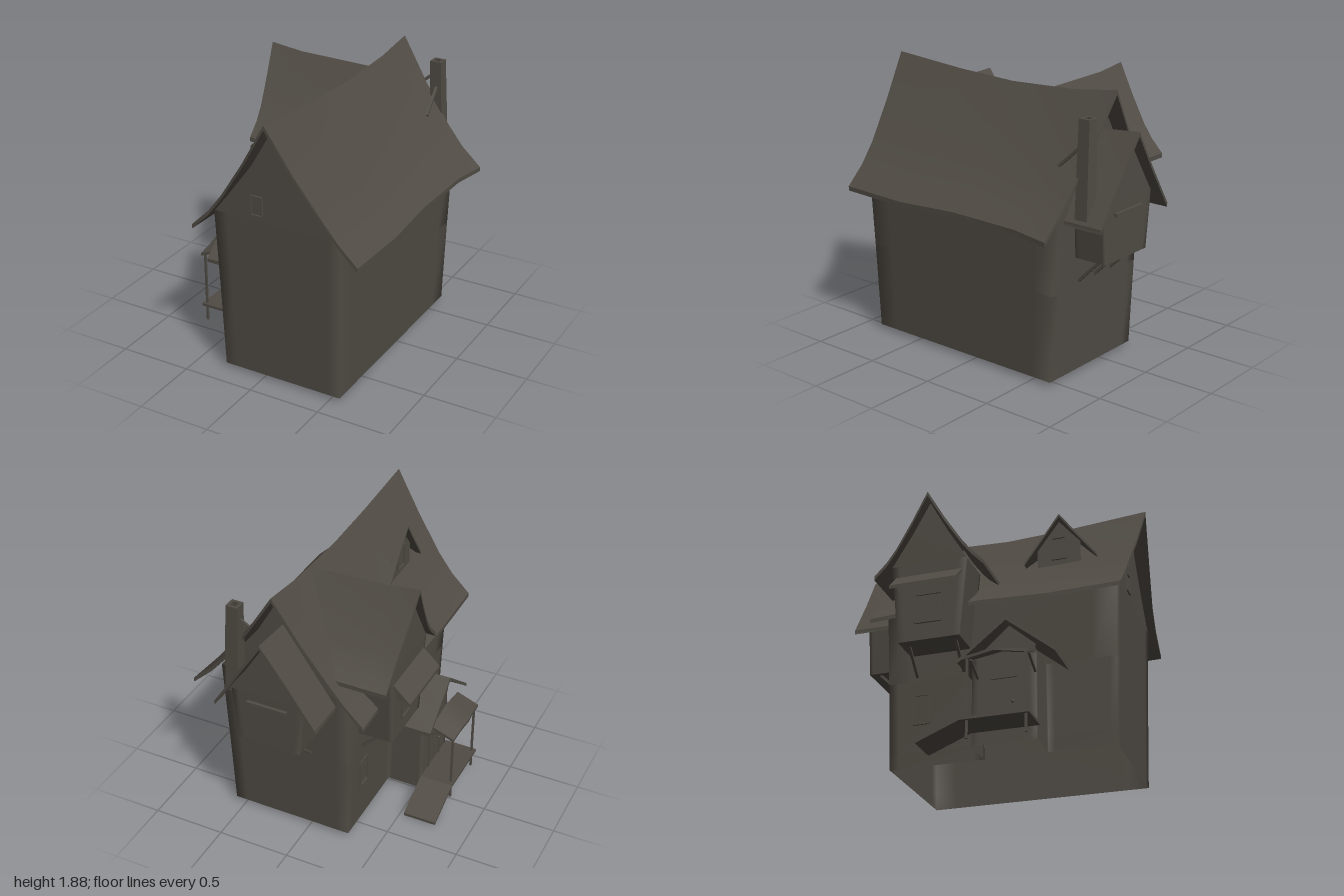
import * as THREE from 'three';
import { toCreasedNormals } from 'three/addons/utils/BufferGeometryUtils.js';

const umber = new THREE.MeshStandardMaterial({ color: 0x504b44, side: THREE.DoubleSide });
umber.name = 'dark umber';

function mesh(name, geometry, parent) {
  const m = new THREE.Mesh(geometry, umber);
  m.name = name;
  parent.add(m);
  return m;
}

function fromIndexed(positions, index) {
  const g = new THREE.BufferGeometry();
  g.setAttribute('position', new THREE.Float32BufferAttribute(positions, 3));
  g.setIndex(index);
  g.computeVertexNormals();
  return g;
}

// Thick sheet over a grid of points; the underside hangs t below the top
function slab(rows, t) {
  const nu = rows.length, nv = rows[0].length, n = nu * nv, pos = [], idx = [];
  for (const drop of [0, t]) for (const row of rows) for (const p of row) pos.push(p[0], p[1] - drop, p[2]);
  const quad = (a, b, c, d) => idx.push(a, b, c, a, c, d);
  const at = (i, j) => i * nv + j;
  for (let i = 0; i < nu - 1; i++) for (let j = 0; j < nv - 1; j++) {
    const a = at(i, j), b = at(i, j + 1), c = at(i + 1, j + 1), d = at(i + 1, j);
    quad(a, b, c, d);
    quad(n + d, n + c, n + b, n + a);
  }
  for (let j = 0; j < nv - 1; j++) for (const [i, flip] of [[0, false], [nu - 1, true]]) {
    const a = at(i, j), b = at(i, j + 1);
    flip ? quad(a, b, n + b, n + a) : quad(b, a, n + a, n + b);
  }
  for (let i = 0; i < nu - 1; i++) for (const [j, flip] of [[0, true], [nv - 1, false]]) {
    const a = at(i, j), b = at(i + 1, j);
    flip ? quad(b, a, n + a, n + b) : quad(a, b, n + b, n + a);
  }
  return toCreasedNormals(fromIndexed(pos, idx), 0.6);
}

// Half profile of a swept roof: [share of half width, share of drop]
const SWEPT = [[0, 0], [0.3, 0.36], [0.6, 0.68], [0.78, 0.845], [1, 1]];
const STRAIGHT = [[0, 0], [0.5, 0.5], [1, 1]];

// rows: [ridge position, eave position, ridge y, eave y, +half width, -half width]
function gableRoof(name, parent, axis, centre, profile, rows, t = 0.03) {
  const sides = [...profile.slice(1).reverse().map(([w, d]) => [-w, d]), ...profile];
  const ordered = axis === 'z' ? [...rows].sort((a, b) => a[0] - b[0]) : [...rows].sort((a, b) => b[0] - a[0]);
  const grid = ordered.map(([ridge, eave, top, low, wp, wn = wp]) => sides.map(([w, d]) => {
    const along = ridge + (eave - ridge) * Math.min(1, Math.abs(w) * 1.5);
    const across = centre + w * (w > 0 ? wp : wn);
    const y = top - d * (top - low);
    return axis === 'z' ? [across, y, along] : [along, y, across];
  }));
  // the row order keeps the top face outward on either axis
  grid.reverse();
  const oriented = grid.map(r => [...r]);
  const [a, b, d] = [oriented[0][0], oriented[0][1], oriented[1][0]].map(p => new THREE.Vector3(...p));
  if (b.sub(a).cross(d.sub(a)).y < 0) oriented.reverse();
  return mesh(name, slab(oriented, t), parent);
}

// Walls lofted through footprints, with extra points beside corners for soft edges
function walls(name, parent, levels, soft = 0.1, closed = true) {
  const pos = [], idx = [];
  let count = 0;
  for (const [y, pts] of levels) {
    const ring = [];
    const segs = closed ? pts.length : pts.length - 1;
    for (let i = 0; i < segs; i++) {
      const a = pts[i], b = pts[(i + 1) % pts.length];
      for (const f of [0, soft, 1 - soft]) ring.push([a[0] + (b[0] - a[0]) * f, y, a[1] + (b[1] - a[1]) * f]);
    }
    const end = pts[closed ? 0 : pts.length - 1];
    ring.push([end[0], y, end[1]]);
    count = ring.length;
    ring.forEach((p, i) => pos.push(...(closed && i === count - 1 ? ring[0] : p)));
  }
  const step = closed ? count - 1 : count;
  const wrap = (l, i) => l * count + (closed ? i % step : i);
  for (let l = 0; l < levels.length - 1; l++) for (let i = 0; i < count - 1; i++) {
    const a = wrap(l, i), b = wrap(l, i + 1), c = wrap(l + 1, i + 1), d = wrap(l + 1, i);
    idx.push(a, b, c, a, c, d);
  }
  return mesh(name, fromIndexed(pos, idx), parent);
}

// Flat panel drawn as (across, y) and placed by a rule
function panel(name, parent, pts, place) {
  const g = new THREE.ShapeGeometry(new THREE.Shape(pts.map(p => new THREE.Vector2(...p))));
  const p = g.attributes.position;
  for (let i = 0; i < p.count; i++) p.setXYZ(i, ...place(p.getX(i), p.getY(i)));
  g.computeVertexNormals();
  return mesh(name, g, parent);
}

function block(name, parent, a, b) {
  const g = new THREE.BoxGeometry(...a.map((v, i) => Math.abs(b[i] - v)));
  g.translate(...a.map((v, i) => (v + b[i]) / 2));
  return mesh(name, g, parent);
}

function bar(name, parent, a, b, size = 0.018) {
  const A = new THREE.Vector3(...a), B = new THREE.Vector3(...b);
  const m = mesh(name, new THREE.BoxGeometry(size, size, A.distanceTo(B)), parent);
  m.position.copy(A).add(B).multiplyScalar(0.5);
  m.lookAt(B);
  return m;
}

// Window frame of four thin bars in the plane given by place(across, y)
function frame(name, parent, w0, w1, y0, y1, place) {
  const g = new THREE.Group();
  g.name = name;
  parent.add(g);
  const c = [[w0, y0], [w1, y0], [w1, y1], [w0, y1]].map(p => place(...p));
  c.forEach((p, i) => bar('frameBar', g, p, c[(i + 1) % 4], 0.012));
}

export function createModel() {
  const house = new THREE.Group();
  house.name = 'house';

  // Ground storey with side entry, then upper storey of the main body
  const lower = (y, k) => [y, [[-0.285 - k, 0.84 + k * 1.6], [0.57 + k, 0.84 + k * 1.6], [0.57 + k, -0.66 - k * 1.6],
    [-0.285 - k, -0.66 - k * 1.6], [-0.285 - k, -0.02], [-0.53, -0.02], [-0.53, 0.4], [-0.285 - k, 0.4]]];
  walls('groundStoreyWalls', house, [lower(0.03, 0), lower(0.13, 0.002), lower(0.62, 0.012)]);
  const upper = (y, k) => [y, [[-0.285 - k, 0.84 + k * 1.6], [0.57 + k, 0.84 + k * 1.6],
    [0.57 + k, -0.66 - k * 1.6], [-0.285 - k, -0.66 - k * 1.6]]];
  walls('upperStoreyWalls', house, [upper(0.62, 0.012), upper(1.17, 0.025)]);
  const mainGable = [[-0.31, 1.17], [0.595, 1.17], [0.49, 1.29], [0.31, 1.53], [0.14, 1.82], [-0.03, 1.53], [-0.21, 1.29]];
  panel('frontGable', house, mainGable, (x, y) => [x, y, 0.88]);
  panel('backGable', house, mainGable, (x, y) => [x, y, -0.7]);
  gableRoof('mainRoof', house, 'z', 0.14, SWEPT, [
    [0.997, 0.935, 1.875, 1.06, 0.6, 0.585], [0.45, 0.45, 1.832, 1.05, 0.605, 0.585],
    [0, 0, 1.812, 1.07, 0.59, 0.585], [-0.5, -0.5, 1.832, 1.065, 0.595, 0.585],
    [-0.83, -0.77, 1.875, 1.05, 0.63, 0.585]]);
  frame('frontWindow', house, -0.035, 0.045, 1.205, 1.335, (x, y) => [x, y, 0.885]);
  frame('sideWindow', house, -0.5, -0.39, 0.32, 0.52, (z, y) => [-0.296, y, z]);

  // Overhanging side wing with its own swept roof
  const wing = (y, x, h) => [y, [[-0.27, -0.32 + h], [-0.27, -0.32 - h], [x, -0.32 - h], [x, -0.32 + h]]];
  walls('wingWalls', house, [wing(0.8, -0.535, 0.21), wing(1.35, -0.547, 0.26)]);
  panel('wingFloor', house, [[-0.53, -0.53], [-0.27, -0.53], [-0.27, -0.11], [-0.53, -0.11]], (x, z) => [x, 0.802, z]);
  panel('wingGable', house, [[-0.58, 1.35], [-0.06, 1.35], [-0.2, 1.58], [-0.32, 1.8], [-0.44, 1.58]], (z, y) => [-0.547, y, z]);
  gableRoof('wingRoof', house, 'x', -0.32, SWEPT, [
    [-0.607, -0.563, 1.855, 1.3, 0.38], [-0.38, -0.38, 1.828, 1.3, 0.38], [0.13, 0.13, 1.818, 1.3, 0.38]]);
  for (const z of [-0.48, -0.16]) bar('wingBrace', house, [-0.29, 0.65, z], [-0.47, 0.82, z]);
  mesh('windowAwning', slab([[[-0.545, 1.27, -0.55], [-0.66, 1.16, -0.55]], [[-0.545, 1.27, -0.09], [-0.66, 1.16, -0.09]]].reverse(), 0.025), house);
  for (const z of [-0.5, -0.14]) {
    panel('awningBracket', house, [[-0.545, 1.13], [-0.655, 1.135], [-0.545, 1.25]], (x, y) => [x, y, z]);
  }
  frame('wingWindow', house, -0.41, -0.23, 0.92, 1.12, (z, y) => [-0.545, y, z]);

  // Entry roof and gable above the door
  panel('entryGable', house, [[-0.02, 0.6], [0.4, 0.6], [0.4, 0.66], [0.228, 0.81], [0.06, 0.66], [-0.02, 0.61]], (z, y) => [-0.535, y, z]);
  gableRoof('entryRoof', house, 'x', 0.228, STRAIGHT, [
    [-0.615, -0.615, 0.84, 0.585, 0.317], [-0.29, -0.29, 0.84, 0.585, 0.317]], 0.025);
  frame('doorFrame', house, 0.1, 0.28, 0.13, 0.46, (z, y) => [-0.533, y, z]);
  mesh('doorKnob', new THREE.SphereGeometry(0.01, 10, 8), house).position.set(-0.54, 0.29, 0.25);

  // Porch with posts, braces and ramp
  gableRoof('porchRoof', house, 'x', 0.2, STRAIGHT, [
    [-0.775, -0.755, 0.56, 0.53, 0.218], [-0.6, -0.6, 0.625, 0.59, 0.218]], 0.02);
  block('porchDeck', house, [-0.76, 0.115, -0.02], [-0.53, 0.135, 0.42]);
  for (const z of [0.02, 0.395]) {
    block('porchPost', house, [-0.743, 0, z - 0.007], [-0.729, 0.53, z + 0.007]);
    bar('porchBrace', house, [-0.53, 0.475, z], [-0.67, 0.545, z], 0.014);
  }
  mesh('ramp', slab([[[-0.76, 0.02, -0.3], [-0.53, 0.02, -0.3]], [[-0.76, 0.135, -0.02], [-0.53, 0.135, -0.02]]].reverse(), 0.02), house);

  // Bracketed bay on the back
  const bay = (y, h, z) => [y, [[0.14 - h, -0.69], [0.14 + h, -0.69], [0.14 + h, z], [0.14 - h, z]]];
  walls('bayWalls', house, [bay(0.82, 0.215, -0.92), bay(1.2, 0.25, -0.925)]);
  panel('bayFloor', house, [[-0.075, -0.92], [0.355, -0.92], [0.355, -0.69], [-0.075, -0.69]], (x, z) => [x, 0.822, z]);
  panel('bayGable', house, [[-0.11, 1.2], [0.39, 1.2], [0.14, 1.59]], (x, y) => [x, y, -0.925]);
  gableRoof('bayRoof', house, 'z', 0.135, STRAIGHT, [
    [-1.0, -0.98, 1.64, 1.1, 0.355], [-0.7, -0.7, 1.615, 1.1, 0.355]]);
  for (const x of [-0.03, 0.14, 0.31]) bar('bayBrace', house, [x, 0.65, -0.68], [x, 0.84, -0.87]);
  bar('bayBeam', house, [0.0, 1.13, -0.935], [0.28, 1.13, -0.935], 0.022);

  // Small roof dormer
  panel('dormerFront', house, [[0.3, 1.4], [0.6, 1.4], [0.6, 1.57], [0.45, 1.75], [0.3, 1.57]], (z, y) => [-0.13, y, z]);
  frame('dormerWindow', house, 0.4, 0.5, 1.46, 1.62, (z, y) => [-0.135, y, z]);
  gableRoof('dormerRoof', house, 'x', 0.465, STRAIGHT, [
    [-0.175, -0.165, 1.78, 1.45, 0.248], [0.07, 0.07, 1.77, 1.45, 0.248]], 0.02);

  // Hollow leaning chimney held by struts
  const flue = (y, x, z, h) => [y, [[x - h, z + h], [x + h, z + h], [x + h, z - h], [x - h, z - h]]];
  walls('chimney', house, [flue(1.12, 0.43, -0.815, 0.046), flue(1.4, 0.42, -0.813, 0.044), flue(1.75, 0.405, -0.81, 0.04),
    flue(1.75, 0.405, -0.81, 0.022), flue(1.65, 0.405, -0.81, 0.022)], 0.02).geometry =
    toCreasedNormals(house.children[house.children.length - 1].geometry, 0.6);
  panel('chimneyBase', house, [[0.384, -0.861], [0.476, -0.861], [0.476, -0.769], [0.384, -0.769]], (x, z) => [x, 1.12, z]);
  bar('chimneyStrut', house, [0.43, 1.42, -0.61], [0.42, 1.57, -0.77]);
  bar('chimneyStrut', house, [0.32, 1.6, -0.8], [0.38, 1.65, -0.81]);
  return house;
}
